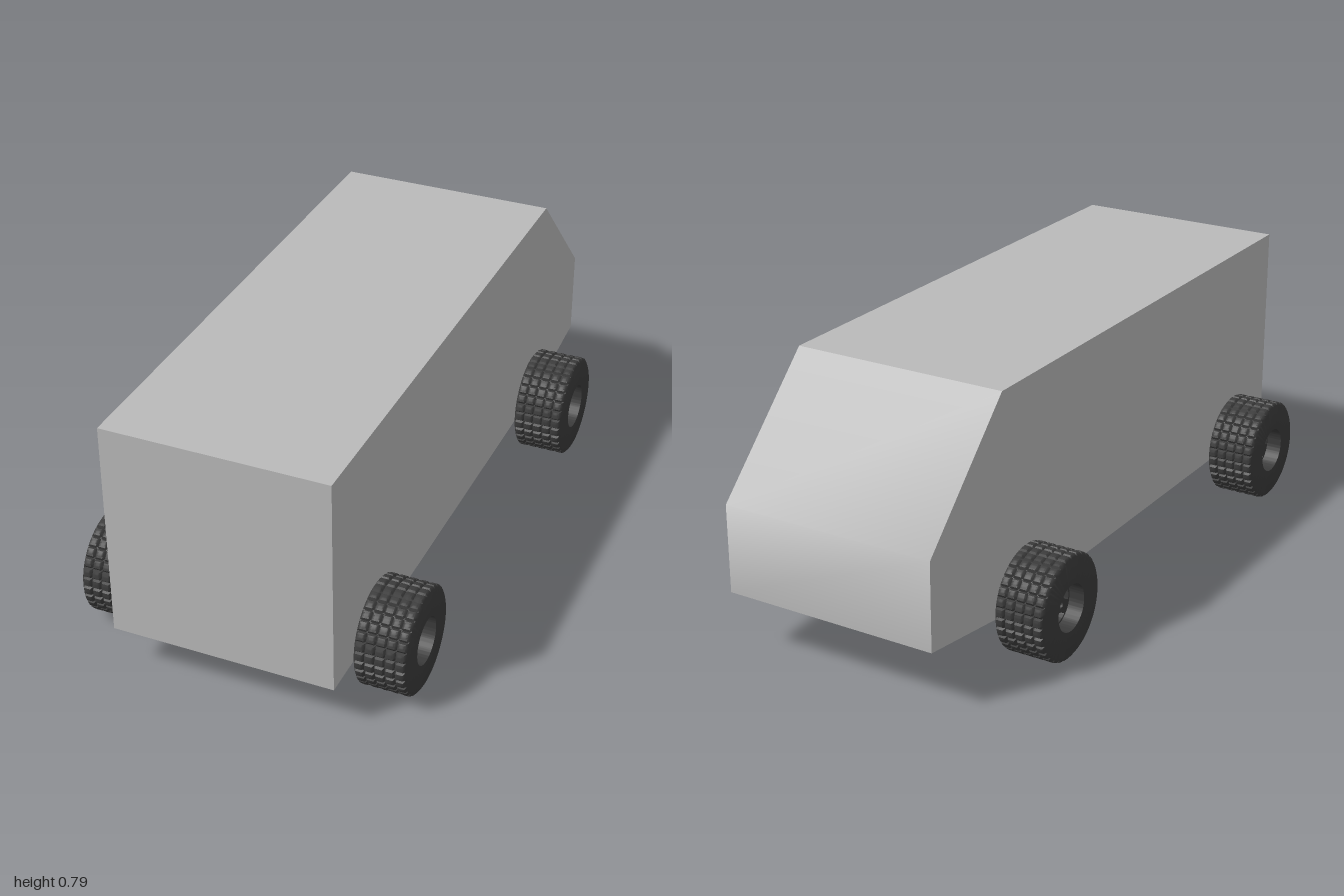
import * as THREE from 'three';
import { toCreasedNormals, mergeVertices } from 'three/addons/utils/BufferGeometryUtils.js';

const bodyGrey = new THREE.MeshStandardMaterial({ color: 0xbababa });
bodyGrey.name = 'bodyGrey';
const tyreBlack = new THREE.MeshStandardMaterial({ color: 0x3b3b3b });
tyreBlack.name = 'tyreBlack';

const HALF_W = 0.333;
// Body outline as [z, y], from the front bottom corner over the roof and back underneath
const OUTLINE = [[1, 0.133], [1, 0.795], [-0.65, 0.795], [-1, 0.445], [-1, 0.18], [-0.65, 0.133]];

const R = 0.158, TYRE_HALF = 0.0775, BORE = 0.07;
const BLOCKS = 32, COLUMNS = 5;

function add(parent, name, geometry, material) {
  const mesh = new THREE.Mesh(geometry, material);
  mesh.name = name;
  parent.add(mesh);
  return mesh;
}

// Panel spanning the body width along a run of outline points, smooth within the run
function panel(points) {
  const pos = [], index = [];
  points.forEach(([z, y], i) => {
    pos.push(-HALF_W, y, z, HALF_W, y, z);
    if (i) {
      const a = 2 * i - 2;
      index.push(a, a + 1, a + 3, a, a + 3, a + 2);
    }
  });
  const g = new THREE.BufferGeometry();
  g.setAttribute('position', new THREE.Float32BufferAttribute(pos, 3));
  g.setIndex(index);
  g.computeVertexNormals();
  return g;
}

function sidePanel(side) {
  const shape = new THREE.Shape(OUTLINE.map(([z, y]) => new THREE.Vector2(-side * z, y)));
  return new THREE.ShapeGeometry(shape).rotateY(side * Math.PI / 2).translate(side * HALF_W, 0, 0);
}

function createBody() {
  const body = new THREE.Group();
  body.name = 'body';
  const [a, b, c, d, e, f] = OUTLINE;
  add(body, 'frontPanel', panel([a, b]), bodyGrey);
  add(body, 'roof', panel([b, c]), bodyGrey);
  add(body, 'slopedTail', panel([c, d, e]), bodyGrey);
  add(body, 'tailUnderside', panel([e, f]), bodyGrey);
  add(body, 'floor', panel([f, a]), bodyGrey);
  add(body, 'leftSide', sidePanel(1), bodyGrey);
  add(body, 'rightSide', sidePanel(-1), bodyGrey);
  return body;
}

// Tyre ring whose outer surface is pressed into rows of pillowy tread blocks
function tyreGeometry() {
  const sub = 6, treadHalf = TYRE_HALF - 0.003, n = COLUMNS * sub;
  const v = (r, y) => new THREE.Vector2(r, y);
  const profile = [v(BORE, -TYRE_HALF), v(R - 0.014, -TYRE_HALF)];
  for (let i = 0; i <= n; i++) profile.push(v(R, -treadHalf + 2 * treadHalf * i / n));
  profile.push(v(R - 0.014, TYRE_HALF), v(BORE, TYRE_HALF), v(BORE, -TYRE_HALF));
  const g = new THREE.LatheGeometry(profile, BLOCKS * sub);
  const p = g.attributes.position;
  const groove = (u) => Math.pow(Math.abs(2 * (u - Math.floor(u)) - 1), 5);
  for (let i = 0; i < p.count; i++) {
    const x = p.getX(i), y = p.getY(i), z = p.getZ(i), r = Math.hypot(x, z);
    if (r < R - 0.001) continue;
    const around = groove(Math.atan2(x, z) / (2 * Math.PI) * BLOCKS + 1e-6);
    const across = groove((y + treadHalf) / (2 * treadHalf) * COLUMNS);
    const k = (R - 0.008 * Math.max(around, across)) / r;
    p.setXYZ(i, x * k, y, z * k);
  }
  g.deleteAttribute('normal');
  g.deleteAttribute('uv');
  return toCreasedNormals(mergeVertices(g, 1e-5), 0.75).rotateZ(-Math.PI / 2);
}

// Three-spoke rim disc with a bored centre
function spokeGeometry() {
  const shape = new THREE.Shape().absarc(0, 0, BORE + 0.002, 0, Math.PI * 2, false);
  for (const deg of [30, 150, 270]) {
    const m = deg * Math.PI / 180;
    const hole = new THREE.Path();
    hole.absarc(0, 0, 0.064, m - 0.72, m + 0.72, false);
    hole.absarc(0, 0, 0.028, m + 0.45, m - 0.45, true);
    hole.closePath();
    shape.holes.push(hole);
  }
  shape.holes.push(new THREE.Path().absarc(0, 0, 0.009, 0, Math.PI * 2, true));
  const g = new THREE.ExtrudeGeometry(shape, { depth: 0.025, bevelEnabled: false, curveSegments: 20 });
  return toCreasedNormals(g, 0.6).rotateY(Math.PI / 2).translate(0.005, 0, 0);
}

// Short hollow hub barrel
function hubGeometry() {
  const pts = [[0.009, -0.03], [0.022, -0.03], [0.022, 0.045], [0.009, 0.045], [0.009, -0.03]];
  const g = new THREE.LatheGeometry(pts.map(([r, y]) => new THREE.Vector2(r, y)), 24);
  return toCreasedNormals(g, 0.6).rotateZ(-Math.PI / 2);
}

export function createModel() {
  const model = new THREE.Group();
  model.name = 'van';
  model.add(createBody());

  const tyre = tyreGeometry(), spokes = spokeGeometry(), hub = hubGeometry();
  for (const [end, z] of [['front', 0.74], ['back', -0.555]]) {
    for (const side of [1, -1]) {
      const wheel = new THREE.Group();
      wheel.name = end + (side > 0 ? 'Left' : 'Right') + 'Wheel';
      add(wheel, 'tyre', tyre, tyreBlack);
      add(wheel, 'spokes', spokes, tyreBlack);
      add(wheel, 'hub', hub, tyreBlack);
      wheel.position.set(side * 0.4175, R, z);
      if (side < 0) wheel.rotation.y = Math.PI;
      model.add(wheel);
    }
  }
  return model;
}
